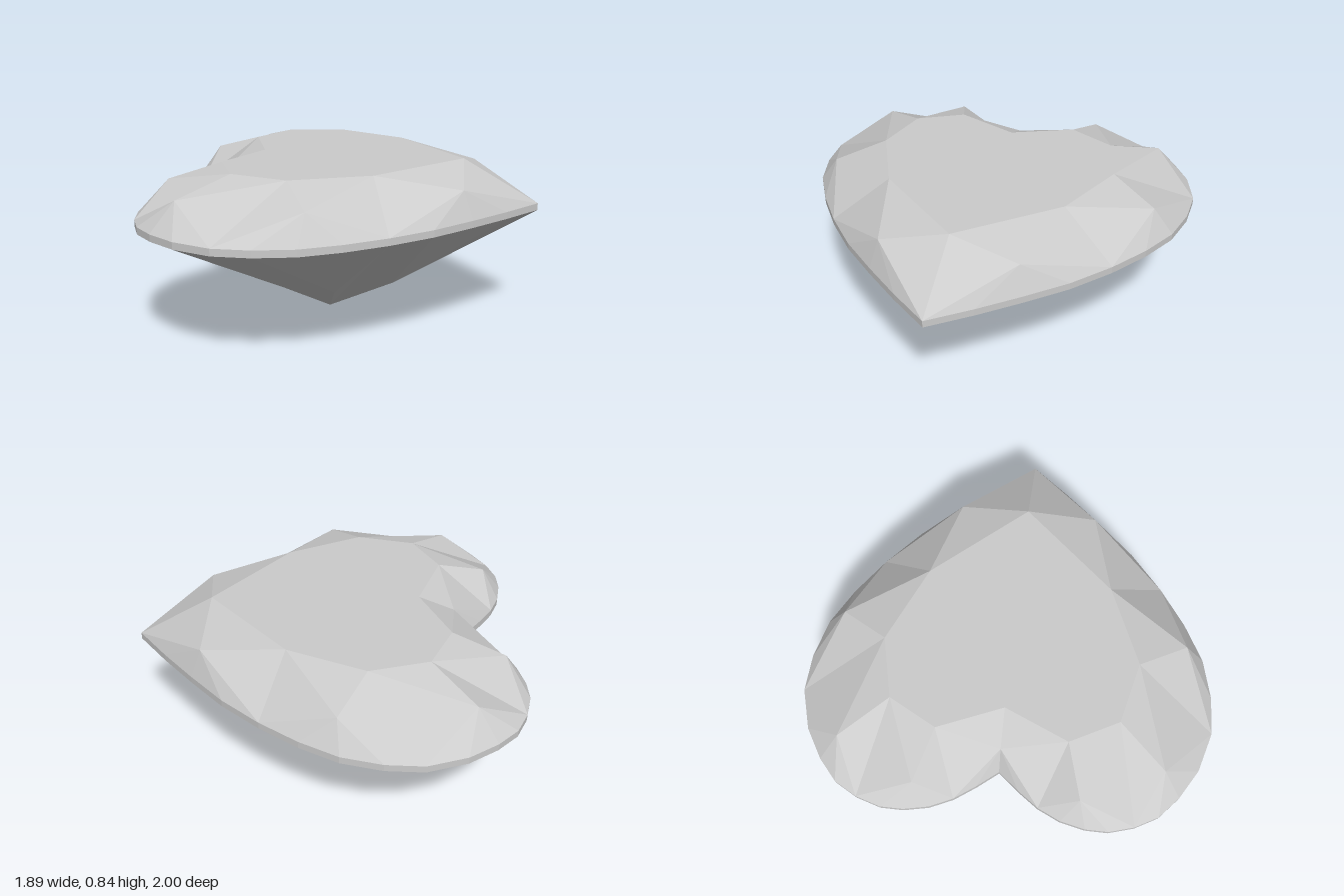
import * as THREE from 'three';

const TABLE_Y = 0.84, GIRDLE_TOP = 0.627, GIRDLE_LOW = 0.592;

// Half outline of the heart (x, z), from the notch around one lobe to the tip
const outline = [
  [-0.72, 0], [-0.8, 0.1], [-0.87, 0.2], [-0.92, 0.31], [-0.945, 0.43], [-0.945, 0.54], [-0.91, 0.66],
  [-0.85, 0.77], [-0.75, 0.86], [-0.61, 0.945], [-0.42, 1], [-0.24, 0.99], [-0.05, 0.94], [0.13, 0.84],
  [0.31, 0.71], [0.49, 0.55], [0.65, 0.37], [0.8, 0.19], [0.945, 0],
];
const ring = y => outline.map(([x, z]) => [x, y, z]);
const upper = ring(GIRDLE_TOP), lower = ring(GIRDLE_LOW);

// Table corners, and the points where neighbouring kite facets meet
const table = [[-0.46, 0], [-0.59, 0.31], [-0.47, 0.54], [-0.18, 0.61], [0.19, 0.445], [0.57, 0]]
  .map(([x, z]) => [x, TABLE_Y, z]);
const crownMids = [[-0.64, 0], [-0.84, 0.39], [-0.66, 0.77], [-0.04, 0.84], [0.6, 0.34]]
  .map(([x, z]) => [x, 0.763, z]);
const culet = [-0.12, 0, 0];
const pavilionMids = [[-0.42, 0.296, 0], [-0.65, 0.39, 0.28], [-0.28, 0.21, 0.33], [-0.02, 0.21, 0.35], [0.24, 0.2, 0.125]];

// Kite facets at every fourth outline point, with a fan of girdle facets between them
function facets(inner, mids, rim) {
  const tris = [];
  mids.forEach((m, i) => {
    const start = Math.max(0, 4 * i - 2), end = 4 * i + 2;
    if (inner[i] !== inner[i + 1]) tris.push([inner[i], m, inner[i + 1]]);
    if (i > 0) tris.push([inner[i], rim[start], m]);
    tris.push([inner[i + 1], m, rim[end]]);
    for (let j = start; j < end; j++) tris.push([m, rim[j], rim[j + 1]]);
  });
  return tris;
}

const flip = tris => tris.map(([a, b, c]) => [a, c, b]);

// Flat-faced mesh from one half plus its mirror image across z = 0
function mirroredMesh(name, half, material) {
  const other = flip(half).map(t => t.map(([x, y, z]) => [x, y, -z]));
  const geometry = new THREE.BufferGeometry();
  geometry.setAttribute('position', new THREE.Float32BufferAttribute([...half, ...other].flat(2), 3));
  geometry.computeVertexNormals();
  const mesh = new THREE.Mesh(geometry, material);
  mesh.name = name;
  return mesh;
}

export function createModel() {
  const group = new THREE.Group();
  group.name = 'heartCutGem';
  const material = new THREE.MeshStandardMaterial({ color: 0xcccccc, flatShading: true });

  // Flat top
  const centre = [0, TABLE_Y, 0];
  const top = table.slice(1).map((p, i) => [centre, table[i], p]);

  // Thin upright band around the widest part
  const band = [];
  for (let j = 0; j < outline.length - 1; j++) {
    band.push([lower[j], lower[j + 1], upper[j + 1]], [lower[j], upper[j + 1], upper[j]]);
  }

  group.add(
    mirroredMesh('table', top, material),
    mirroredMesh('crown', facets(table, crownMids, upper), material),
    mirroredMesh('girdle', band, material),
    mirroredMesh('pavilion', flip(facets(Array(6).fill(culet), pavilionMids, lower)), material),
  );
  return group;
}
